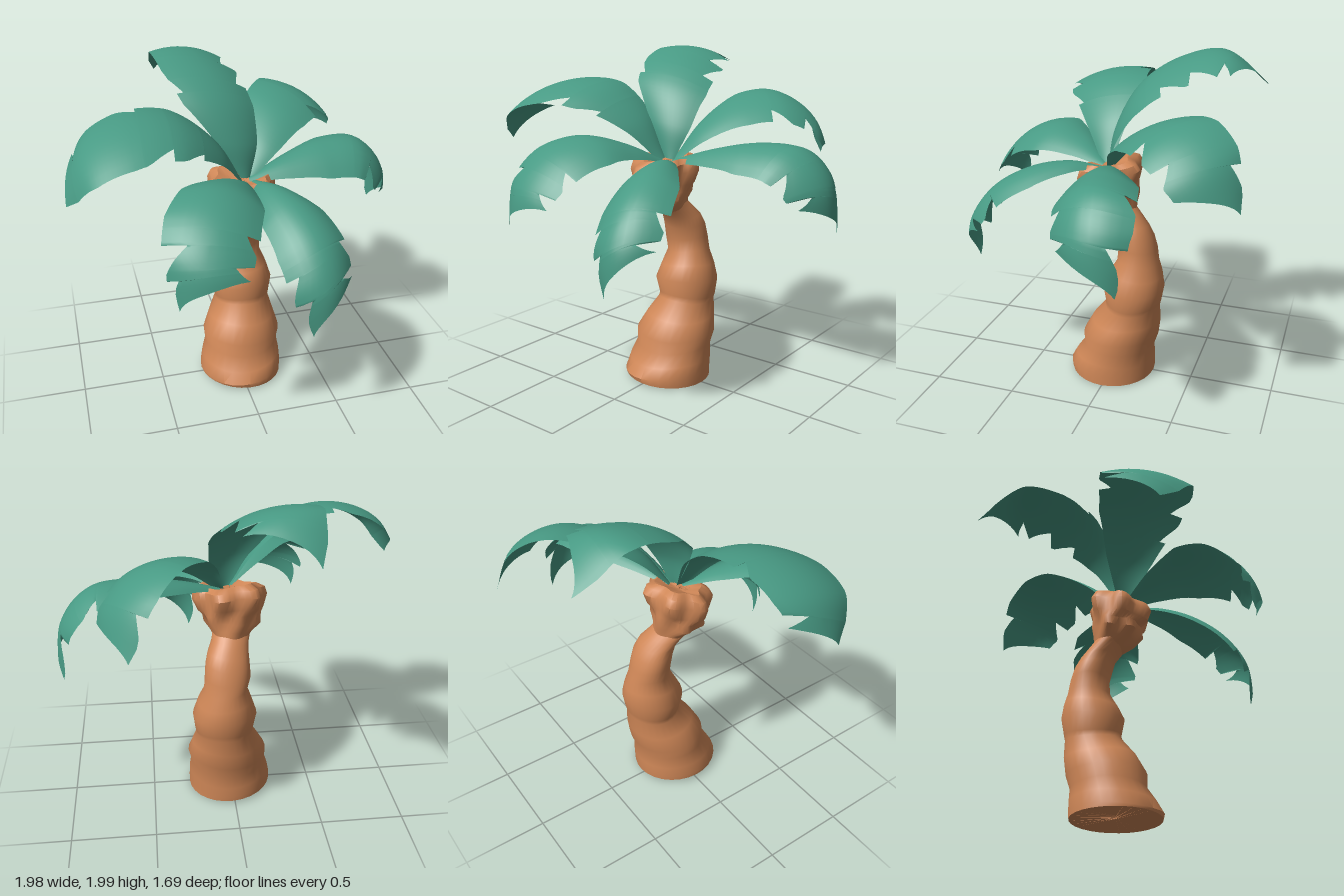
import * as THREE from 'three';
import { toCreasedNormals } from 'three/addons/utils/BufferGeometryUtils.js';

const bark = new THREE.MeshStandardMaterial({ color: 0xcf8757 });
bark.name = 'bark brown';
const leafGreen = new THREE.MeshStandardMaterial({ color: 0x489a84, side: THREE.DoubleSide });
leafGreen.name = 'leaf green';

const V = (a) => new THREE.Vector3(...a);

function buildGeometry(positions, index) {
  const geometry = new THREE.BufferGeometry();
  geometry.setAttribute('position', new THREE.Float32BufferAttribute(positions, 3));
  geometry.setIndex(index);
  geometry.computeVertexNormals();
  return geometry;
}

// Closed loft; each ring is [y, xMin, xMax, zMin, zMax, lobe depth]; slope leans the rings forward
function loft(rings, sides, slope) {
  const positions = [], index = [];
  rings.forEach(([y, x0, x1, z0, z1, lobe = 0]) => {
    for (let j = 0; j < sides; j++) {
      const a = (j / sides) * Math.PI * 2;
      const r = 1 + lobe * Math.cos(6 * (a - 0.87));
      const tilt = y < 0.02 ? 0.016 * (1 - Math.cos(a)) : 0.01 * Math.sin(2 * a + y * 9);
      const z = (z0 + z1) / 2 + ((z1 - z0) / 2) * r * Math.sin(a);
      positions.push((x0 + x1) / 2 + ((x1 - x0) / 2) * r * Math.cos(a), y + tilt - slope * z, z);
    }
  });
  for (let i = 0; i < rings.length - 1; i++) {
    for (let j = 0; j < sides; j++) {
      const k = (j + 1) % sides, p = i * sides, q = p + sides;
      index.push(p + j, q + j, p + k, p + k, q + j, q + k);
    }
  }
  return toCreasedNormals(buildGeometry(positions, index), 0.75);
}

// Half-width of a frond along its length
const widthCurve = [[0, 0.12], [0.2, 0.52], [0.4, 0.9], [0.6, 1], [0.78, 0.94], [0.92, 0.74], [1, 0.45]];
function widthAt(u) {
  let i = 0;
  while (i < widthCurve.length - 2 && u > widthCurve[i + 1][0]) i++;
  const [u0, w0] = widthCurve[i], [u1, w1] = widthCurve[i + 1];
  return THREE.MathUtils.lerp(w0, w1, (u - u0) / (u1 - u0));
}

// Curved frond: spine points, half-width vector, camber, slant of the tip
// (its sign tells which side is cut shorter), notches [side, u, depth, length]
function frond({ spine, side, camber, slant, notches }) {
  const curve = new THREE.CatmullRomCurve3(spine.map(V));
  const across = V(side);
  const sign = Math.sign(across.clone().cross(curve.getTangent(0.4)).y);
  const stations = [];
  for (let i = 0; i <= 40; i++) stations.push(i / 40);
  notches.forEach(([, u]) => stations.push(u - 0.0005, u + 0.0005));
  stations.sort((a, b) => a - b);

  const edge = (u, s) => {
    let e = 1;
    notches.forEach(([ns, nu, depth, length]) => {
      if (ns === s && u > nu && u < nu + length) e -= depth * (1 - (u - nu) / length);
    });
    return Math.max(e, 0.1);
  };

  const columns = 10, positions = [], index = [];
  stations.forEach((u) => {
    for (let j = 0; j <= columns; j++) {
      let v = (j / columns) * 2 - 1;
      v *= edge(u, v < 0 ? -1 : 1);
      const t = u - Math.abs(slant) * u ** 3 * (1 + Math.sign(slant) * v) / 2;
      const w = widthAt(t);
      const normal = across.clone().cross(curve.getTangent(t)).normalize().multiplyScalar(sign);
      const p = curve.getPoint(t).addScaledVector(across, v * w).addScaledVector(normal, -camber * w * v * v);
      positions.push(p.x, p.y, p.z);
    }
  });
  for (let i = 0; i < stations.length - 1; i++) {
    for (let j = 0; j < columns; j++) {
      const a = i * (columns + 1) + j, b = a + columns + 1;
      if (sign > 0) index.push(a, a + 1, b, a + 1, b + 1, b);
      else index.push(a, b, a + 1, a + 1, b, b + 1);
    }
  }
  return buildGeometry(positions, index);
}

const fronds = {
  frontLeftFrond: {
    spine: [[0.08, 1.355, 0.06], [0.13, 1.385, 0.23], [0.2, 1.35, 0.45], [0.26, 1.23, 0.66], [0.29, 1.03, 0.8], [0.31, 0.76, 0.83]],
    side: [0.2, 0.02, -0.04], camber: 0.1, slant: 0.2,
    notches: [[1, 0.66, 0.3, 0.14], [1, 0.88, 0.5, 0.12], [-1, 0.72, 0.3, 0.12], [-1, 0.86, 0.45, 0.14]],
  },
  frontRightFrond: {
    spine: [[0.02, 1.355, 0.06], [-0.08, 1.45, 0.24], [-0.18, 1.5, 0.45], [-0.29, 1.43, 0.66], [-0.37, 1.25, 0.82], [-0.41, 1.0, 0.86]],
    side: [-0.23, 0.06, -0.08], camber: 0.07, slant: -0.2,
    notches: [[1, 0.74, 0.55, 0.14], [1, 0.9, 0.35, 0.1], [-1, 0.66, 0.3, 0.12], [-1, 0.86, 0.4, 0.14]],
  },
  leftFrond: {
    spine: [[0.06, 1.355, 0.02], [0.3, 1.43, -0.03], [0.55, 1.475, -0.08], [0.8, 1.45, -0.11], [0.96, 1.28, -0.14], [1.0, 0.97, -0.2]],
    side: [0.02, 0.05, -0.235], camber: 0.11, slant: -0.16,
    notches: [[1, 0.56, 0.25, 0.12], [1, 0.86, 0.45, 0.12], [-1, 0.7, 0.35, 0.14], [-1, 0.9, 0.5, 0.12]],
  },
  backLeftFrond: {
    spine: [[0.06, 1.355, 0.01], [0.17, 1.54, -0.11], [0.32, 1.68, -0.3], [0.49, 1.7, -0.48], [0.62, 1.58, -0.65], [0.67, 1.32, -0.77]],
    side: [-0.155, 0.08, -0.165], camber: 0.05, slant: -0.14,
    notches: [[1, 0.85, 0.35, 0.1], [-1, 0.54, 0.4, 0.13], [-1, 0.76, 0.4, 0.13]],
  },
  backRightFrond: {
    spine: [[0.04, 1.36, 0.03], [0.01, 1.56, 0], [-0.06, 1.78, -0.11], [-0.12, 1.93, -0.33], [-0.18, 1.98, -0.6], [-0.23, 1.79, -0.86]],
    side: [-0.24, 0.045, 0.055], camber: 0.05, slant: -0.2,
    notches: [[1, 0.46, 0.15, 0.08], [-1, 0.54, 0.3, 0.14], [-1, 0.7, 0.4, 0.2], [-1, 0.88, 0.5, 0.14]],
  },
  rightFrond: {
    spine: [[0.01, 1.36, 0.05], [-0.13, 1.59, 0.1], [-0.37, 1.76, 0.18], [-0.65, 1.78, 0.23], [-0.88, 1.68, 0.24], [-1.01, 1.47, 0.19]],
    side: [0, 0.065, -0.265], camber: 0.05, slant: 0.1,
    notches: [[-1, 0.44, 0.3, 0.1], [1, 0.56, 0.25, 0.1], [-1, 0.3, 0.2, 0.07], [1, 0.92, 0.6, 0.08]],
  },
};

export function createModel() {
  const palm = new THREE.Group();
  palm.name = 'palmTree';

  // Leaning trunk with swollen segments
  const trunk = new THREE.Mesh(loft([
    [0.03, 0, 0.002, 0, 0.002],
    [0.0, -0.245, 0.27, -0.26, 0.265],
    [0.05, -0.245, 0.27, -0.262, 0.272],
    [0.12, -0.23, 0.268, -0.262, 0.235],
    [0.2, -0.205, 0.258, -0.258, 0.178],
    [0.28, -0.21, 0.275, -0.285, 0.18],
    [0.38, -0.165, 0.25, -0.3, 0.12],
    [0.48, -0.115, 0.225, -0.298, 0.035],
    [0.51, -0.118, 0.232, -0.305, 0.03],
    [0.61, -0.14, 0.245, -0.322, 0.05],
    [0.7, -0.11, 0.215, -0.31, 0.01],
    [0.78, -0.08, 0.178, -0.288, -0.035],
    [0.86, -0.1, 0.172, -0.272, -0.04],
    [0.94, -0.095, 0.165, -0.25, -0.02],
    [1.0, -0.092, 0.15, -0.215, 0],
    [1.06, -0.1, 0.12, -0.16, 0.06],
    [1.12, -0.12, 0.11, -0.1, 0.11],
  ], 28, 0), bark);
  trunk.name = 'trunk';

  // Two tiers of lumps, leaning forward, with a hollow top that holds the fronds
  const crown = new THREE.Mesh(loft([
    [1.04, -0.08, 0.1, -0.13, 0.03],
    [1.1, -0.12, 0.12, -0.13, 0.12, -0.03],
    [1.15, -0.165, 0.15, -0.13, 0.155, -0.1],
    [1.2, -0.17, 0.165, -0.13, 0.155, -0.06],
    [1.24, -0.19, 0.185, -0.145, 0.195, 0.07],
    [1.31, -0.2, 0.205, -0.155, 0.21, 0.12],
    [1.355, -0.185, 0.205, -0.13, 0.19, 0.12],
    [1.38, -0.14, 0.17, -0.085, 0.15, 0.1],
    [1.36, -0.09, 0.11, -0.03, 0.1, 0.08],
    [1.335, 0.01, 0.012, 0.04, 0.042],
  ], 42, 0.18), bark);
  crown.name = 'crown';
  palm.add(trunk, crown);

  // Torn fronds
  for (const [name, spec] of Object.entries(fronds)) {
    const mesh = new THREE.Mesh(frond(spec), leafGreen);
    mesh.name = name;
    palm.add(mesh);
  }
  return palm;
}
